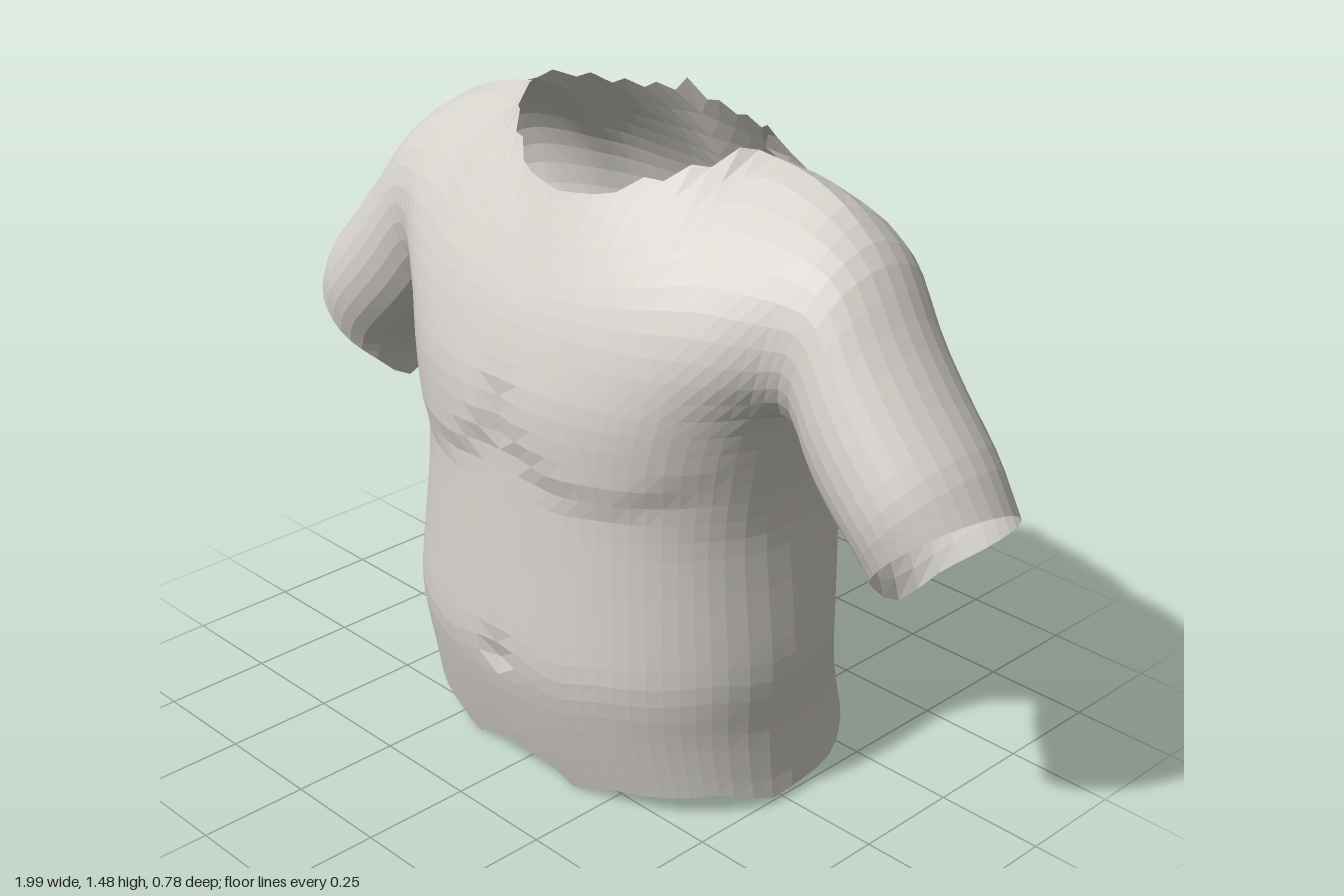
import * as THREE from 'three';

const V = (x, y, z) => new THREE.Vector3(x, y, z);
const spline = (pts) => new THREE.CatmullRomCurve3(pts, false, 'centripetal');
const bump = (d, r) => Math.exp(-(d * d) / (r * r));

// piecewise-linear lookup: rows of [key, v1, v2, ...]
function lookup(table, key) {
  let i = 0;
  while (i < table.length - 2 && key > table[i + 1][0]) i++;
  const a = table[i], b = table[i + 1];
  const t = THREE.MathUtils.clamp((key - a[0]) / (b[0] - a[0]), 0, 1);
  return a.slice(1).map((v, k) => v + (b[k + 1] - v) * t);
}

// height, half width, front z, back z
const PROFILE = [
  [0.0, 0.513, 0.315, -0.397], [0.08, 0.505, 0.34, -0.387], [0.2, 0.5, 0.372, -0.352],
  [0.27, 0.507, 0.387, -0.33], [0.33, 0.51, 0.394, -0.322], [0.42, 0.502, 0.388, -0.335],
  [0.55, 0.485, 0.378, -0.36], [0.66, 0.475, 0.37, -0.378], [0.76, 0.483, 0.363, -0.387],
  [0.88, 0.505, 0.36, -0.395], [0.96, 0.53, 0.352, -0.395],
];
// uneven hem height, from front centre (0) round to back centre (1)
const HEM = [
  [0, 0.05], [0.05, 0.045], [0.085, 0.0], [0.15, 0.04], [0.35, 0.06], [0.46, 0.02],
  [0.6, 0.04], [0.7, 0.09], [0.95, 0.08], [1, 0.07],
];
const PANEL = 14, SIDE = 6, LOWER = 22, UPPER = 11, SPLIT = 68, NECK = 9;
const ARMPIT_Y = 0.96, SIDE_Z = -0.02;

// column angles: front panel, side under the arm, back panel
const ANGLES = [];
for (let j = 0; j <= PANEL; j++) ANGLES.push(SPLIT * j / PANEL);
for (let j = 1; j <= SIDE; j++) ANGLES.push(SPLIT + (180 - 2 * SPLIT) * j / SIDE);
for (let j = 1; j <= PANEL; j++) ANGLES.push(180 - SPLIT + SPLIT * j / PANEL);

function trunkPoint(deg, y) {
  const [w, front, back] = lookup(PROFILE, y);
  const a = deg * Math.PI / 180, c = Math.cos(a);
  const e = c >= 0 ? 2 / 2.3 : 2 / 2.7;
  const depth = (c >= 0 ? front : back) - SIDE_Z;
  const s = Math.max(0, Math.sin(a));
  return V(w * Math.pow(s, e), y, SIDE_Z + depth * Math.pow(Math.abs(c), e));
}

// chest, navel and spine relief
function relief(p) {
  const { x, y } = p;
  if (p.z > 0.15) {
    const fold = 0.71 + 0.1 * bump(x, 0.11) + 0.4 * Math.max(0, x - 0.3);
    p.z += 0.018 * THREE.MathUtils.smoothstep(y, fold, fold + 0.08)
      * (1 - THREE.MathUtils.smoothstep(y, 0.88, 1.15))
      * (1 - THREE.MathUtils.smoothstep(x, 0.36, 0.5));
    p.z -= 0.014 * bump(x, 0.035) * bump(y - 0.89, 0.06);
    p.z -= 0.02 * bump(x, 0.035) * bump(y - 0.31, 0.03);
  } else if (p.z < -0.15) {
    const fade = THREE.MathUtils.clamp((1.42 - y) / 0.2, 0, 1);
    p.z += 0.022 * fade * bump(x, 0.07);
    p.z += 0.02 * bump(x, 0.03) * bump(y - 0.25, 0.12);
  }
}

// surface from a grid of points; flip reverses the winding
function surface(rows, sx, flip) {
  const n = rows[0].length, pos = [], index = [];
  rows.forEach((row) => row.forEach((p) => pos.push(p.x * sx, p.y, p.z)));
  const reversed = flip !== (sx < 0);
  for (let i = 0; i < rows.length - 1; i++) {
    for (let j = 0; j < n - 1; j++) {
      const a = i * n + j, b = a + 1, c = a + n + 1, d = a + n;
      if (reversed) index.push(a, c, b, a, d, c);
      else index.push(a, b, c, a, c, d);
    }
  }
  const g = new THREE.BufferGeometry();
  g.setAttribute('position', new THREE.Float32BufferAttribute(pos, 3));
  g.setIndex(index);
  g.computeVertexNormals();
  return g;
}

// patch blended from its four border curves; it shares the bottom points
function patch(bottom, top, centre, edge) {
  const n = bottom.length - 1, rows = [bottom];
  const T = spline(top), C = spline(centre), E = spline(edge);
  const c0 = bottom[0], e0 = bottom[n], c1 = top[0], e1 = top[top.length - 1];
  for (let i = 1; i <= UPPER; i++) {
    const v = i / UPPER, row = [];
    for (let j = 0; j <= n; j++) {
      const u = j / n;
      // straight blend of the sides, plus the bend of bottom and top
      const bottomBend = bottom[j].clone().sub(c0.clone().lerp(e0, u));
      const topBend = T.getPoint(u).sub(c1.clone().lerp(e1, u));
      row.push(C.getPoint(v).lerp(E.getPoint(v), u)
        .addScaledVector(bottomBend, 1 - v).addScaledVector(topBend, v * v));
    }
    rows.push(row);
  }
  return rows;
}

// even out the seams between grids that share points, keeping volume
function relax(grids, pinned) {
  const links = new Map();
  const link = (a, b) => {
    if (!links.has(a)) links.set(a, new Set());
    links.get(a).add(b);
  };
  const join = (a, b) => { link(a, b); link(b, a); };
  grids.forEach((rows) => rows.forEach((row, i) => row.forEach((p, j) => {
    if (j) join(p, row[j - 1]);
    if (i) join(p, rows[i - 1][j]);
  })));
  const free = [...links.keys()].filter((p) => !pinned.has(p));
  for (let pass = 0; pass < 12; pass++) {
    const weight = pass % 2 ? -0.52 : 0.5;
    const moved = free.map((p) => {
      const mean = V(0, 0, 0);
      links.get(p).forEach((q) => mean.add(q));
      return p.clone().lerp(mean.divideScalar(links.get(p).size), weight);
    });
    free.forEach((p, i) => p.copy(moved[i]));
  }
}

// ragged neckline
function fray(rows, first, inward) {
  for (let j = first; j <= NECK; j += 2) {
    rows[UPPER][j].y += 0.018;
    rows[UPPER][j].z += inward * 0.012;
  }
}

function bodyHalf() {
  const lower = [];
  for (let i = 0; i <= LOWER; i++) {
    lower.push(ANGLES.map((deg) => {
      const hem = lookup(HEM, deg / 180)[0];
      return trunkPoint(deg, hem + (ARMPIT_Y - hem) * i / LOWER);
    }));
  }
  const loop = lower[LOWER];
  const frontBase = loop.slice(0, PANEL + 1);
  const backBase = loop.slice(PANEL + SIDE).reverse();
  const tip = V(0.555, 1.38, -0.06);
  const shoulder = [V(0.35, 1.44, -0.055), V(0.45, 1.418, -0.07), tip];

  const frontNeck = V(0, 1.325, 0.19), backNeck = V(0, 1.455, -0.195);
  const front = patch(frontBase,
    [frontNeck, V(0.11, 1.34, 0.17), V(0.21, 1.375, 0.115), V(0.29, 1.41, 0.04), ...shoulder],
    [frontBase[0], V(0, 1.1, 0.315), V(0, 1.2, 0.26), frontNeck],
    [frontBase[PANEL], V(0.54, 1.07, 0.162), V(0.56, 1.2, 0.14), V(0.56, 1.31, 0.06), tip]);
  const back = patch(backBase,
    [backNeck, V(0.11, 1.438, -0.195), V(0.21, 1.43, -0.18), V(0.3, 1.435, -0.14), ...shoulder],
    [backBase[0], V(0, 1.1, -0.378), V(0, 1.2, -0.345), V(0, 1.3, -0.29), backNeck],
    [backBase[PANEL], V(0.535, 1.09, -0.26), V(0.555, 1.22, -0.25), V(0.56, 1.32, -0.175), tip]);
  // one shoulder line for both panels
  for (let j = NECK + 1; j <= PANEL; j++) back[UPPER][j] = front[UPPER][j];

  // armhole: up the front, down the back, then under the arm
  const arm = armRings([
    ...front.map((r) => r[PANEL]), ...back.map((r) => r[PANEL]).reverse().slice(1),
    ...loop.slice(PANEL, PANEL + SIDE).reverse(),
  ]);

  const pinned = new Set([
    ...lower[0], ...arm[arm.length - 1],
    ...lower.flatMap((r) => [r[0], r[r.length - 1]]),
    ...[front, back].flatMap((rows) => [
      ...rows.map((r) => r[0]), ...rows[UPPER].slice(0, NECK + 1)]),
  ]);
  relax([lower, front, back, arm], pinned);
  new Set([lower, front, back].flat(2)).forEach(relief);
  fray(front, 4, -1);
  fray(back, 0, 1);
  back[UPPER][0].y += 0.015;
  return { lower, front, back, arm };
}

// upper x, y, lower x, y, front z, back z along the sleeve
const SLEEVE = [
  [0.66, 1.3, 0.55, 0.91, 0.145, -0.244], [0.75, 1.18, 0.61, 0.84, 0.158, -0.217],
  [0.85, 1.06, 0.68, 0.77, 0.166, -0.203], [0.935, 0.965, 0.74, 0.71, 0.163, -0.193],
  [0.995, 0.87, 0.78, 0.645, 0.15, -0.18],
];

function armRings(hole) {
  const steps = 13, half = 130;
  const paths = hole.map((start, k) => {
    const deg = k <= 2 * UPPER
      ? half * (1 - k / UPPER)
      : -half - (360 - 2 * half) * (k - 2 * UPPER) / SIDE;
    const a = deg * Math.PI / 180, c = Math.cos(a), s = Math.sin(a);
    const pts = SLEEVE.map(([tx, ty, ux, uy, zf, zb]) => V(
      (tx + ux) / 2 + c * (tx - ux) / 2, (ty + uy) / 2 + c * (ty - uy) / 2,
      (zf + zb) / 2 + s * (zf - zb) / 2));
    // cuff set back at the front, with a drooping corner below
    const end = pts[pts.length - 1];
    end.x -= 0.018 * s;
    end.y += 0.022 * s - 0.04 * Math.max(0, -c) ** 10;
    return spline([start, ...pts]);
  });
  const rings = [hole];
  for (let i = 1; i <= steps; i++) {
    const ring = paths.map((p) => p.getPoint(i / steps));
    ring[ring.length - 1] = ring[0];
    rings.push(ring);
  }
  return rings;
}

export function createModel() {
  const group = new THREE.Group();
  group.name = 'upperBody';
  const skin = new THREE.MeshStandardMaterial({
    color: 0xd4d0ca, flatShading: true, side: THREE.DoubleSide,
  });
  skin.name = 'warm light grey';
  const half = bodyHalf();
  for (const [side, sx] of [['left', 1], ['right', -1]]) {
    const add = (name, rows, flip) => {
      const mesh = new THREE.Mesh(surface(rows, sx, flip), skin);
      mesh.name = side + name;
      group.add(mesh);
    };
    add('Trunk', half.lower, false);
    add('Chest', half.front, false);
    add('UpperBack', half.back, true);
    add('Sleeve', half.arm, true);
  }
  return group;
}
